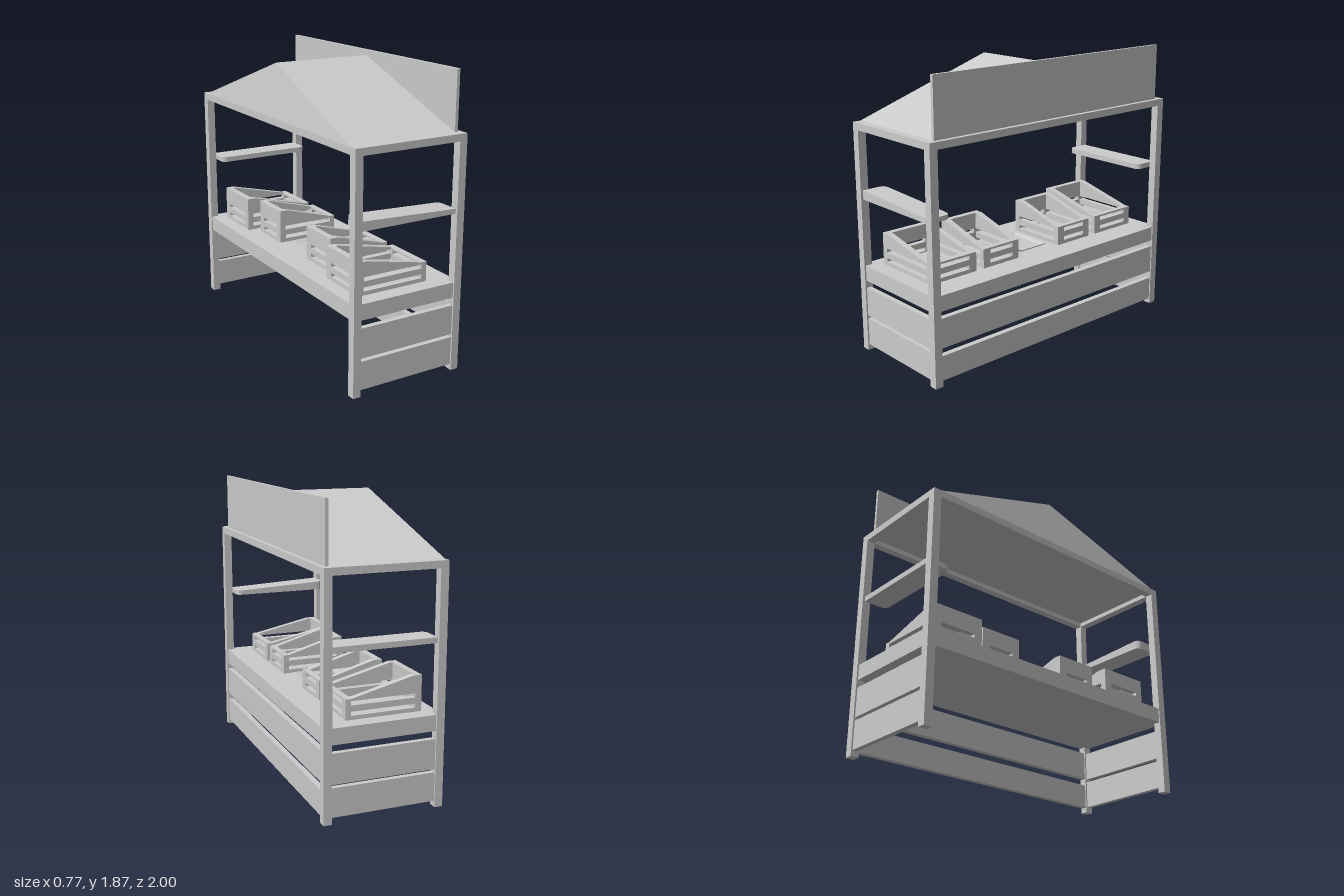
import * as THREE from 'three';
import { ConvexGeometry } from 'three/addons/geometries/ConvexGeometry.js';

const mat = new THREE.MeshStandardMaterial({ color: 0xcccccc, flatShading: true });

function add(parent, name, geometry) {
  const mesh = new THREE.Mesh(geometry, mat);
  mesh.name = name;
  parent.add(mesh);
  return mesh;
}

// Box given by its limits on each axis
function box(parent, name, x0, x1, y0, y1, z0, z1) {
  const mesh = add(parent, name, new THREE.BoxGeometry(x1 - x0, y1 - y0, z1 - z0));
  mesh.position.set((x0 + x1) / 2, (y0 + y1) / 2, (z0 + z1) / 2);
  return mesh;
}

// Flat panel from an outline, with horizontal slots cut through it
function slottedPanel(points, s0, s1, depth) {
  const shape = new THREE.Shape(points.map(p => new THREE.Vector2(...p)));
  for (const [y0, y1] of [[0.025, 0.05], [0.088, 0.114]]) {
    shape.holes.push(new THREE.Path([
      new THREE.Vector2(s0, y0), new THREE.Vector2(s0, y1),
      new THREE.Vector2(s1, y1), new THREE.Vector2(s1, y0)]));
  }
  return new THREE.ExtrudeGeometry(shape, { depth, bevelEnabled: false });
}

// Open crate with a high back (-x), sloping sides and a low front (+x)
function makeCrate(back, z0, z1, height) {
  const crate = new THREE.Group();
  crate.name = 'crate';
  crate.position.y = 0.58;
  const front = 0.205, low = 0.127, wall = 0.04, side = 0.055;

  const profile = [[back, 0], [front, 0], [front, low], [front - 0.035, low],
    [back + side, height], [back, height]];
  for (const z of [z0, z1 - wall]) {
    add(crate, 'crateSide', slottedPanel(profile, back + 0.04, front - 0.035, wall)).position.z = z;
  }

  const half = (z1 - z0) / 2 - wall;
  const slot = (z1 - z0) / 2 - side;
  for (const [name, x, h] of [['crateBack', back, height], ['crateFront', front - wall, low]]) {
    const panel = add(crate, name,
      slottedPanel([[-half, 0], [half, 0], [half, h], [-half, h]], slot * -1, slot, wall));
    panel.rotation.y = Math.PI / 2;
    panel.position.set(x, 0, (z0 + z1) / 2);
  }
  box(crate, 'crateFloor', back + wall, front - wall, 0, 0.018, z0 + wall, z1 - wall);
  return crate;
}

export function createModel() {
  const stall = new THREE.Group();
  stall.name = 'marketStall';
  const X = 0.385, xi = 0.333, Z = 1, zi = 0.945;

  for (const s of [-1, 1]) {
    // Corner posts and top rails
    for (const t of [-1, 1]) {
      const post = box(stall, 'post', xi, X, 0, 1.5, zi, Z);
      post.position.x *= s;
      post.position.z *= t;
    }
    box(stall, 'longRail', -xi, -xi + 0.052, 1.455, 1.5, -zi, zi).position.x = s * (X + xi) / 2;
    box(stall, 'endRail', -xi, xi, 1.455, 1.5, zi, Z).position.z = s * (Z + zi) / 2;

    // End boards
    for (const [y0, y1] of [[0.038, 0.22], [0.24, 0.43]]) {
      box(stall, 'endBoard', -xi, xi, y0, y1, 0.955, 0.99).position.z = s * 0.9725;
    }

    // Small side shelf with rounded inner corners
    const r = 0.04, out = 0.985, inn = 0.825;
    const plan = new THREE.Shape();
    plan.moveTo(-xi, -out);
    plan.lineTo(xi, -out);
    plan.lineTo(xi, -inn - r);
    plan.quadraticCurveTo(xi, -inn, xi - r, -inn);
    plan.lineTo(-xi + r, -inn);
    plan.quadraticCurveTo(-xi, -inn, -xi, -inn - r);
    const shelf = new THREE.ExtrudeGeometry(plan, { depth: 0.035, bevelEnabled: false, curveSegments: 5 });
    shelf.rotateX(-Math.PI / 2);
    if (s < 0) shelf.rotateY(Math.PI);
    // The top of the +z shelf tilts down towards +x
    const p = shelf.attributes.position;
    for (let i = 0; i < p.count; i++) {
      if (s > 0 && p.getY(i) > 0.01) p.setY(i, 0.045 - 0.015 * p.getX(i) / xi);
    }
    add(stall, 'sideShelf', shelf).position.y = 1.015;
  }

  // Customer-side boards; the seller's side stays open
  for (const [y0, y1] of [[0.035, 0.195], [0.245, 0.435]]) {
    box(stall, 'frontBoard', 0.34, 0.377, y0, y1, -zi, zi);
  }
  // Counter
  box(stall, 'counter', -0.378, 0.378, 0.48, 0.58, -0.99, 0.99);

  // Ceiling, ridged roof and sign board
  box(stall, 'ceiling', -xi, xi, 1.485, 1.499, -zi, zi);
  const roof = [];
  for (const z of [-zi, zi]) {
    roof.push(new THREE.Vector3(-X, 1.5, z), new THREE.Vector3(0.335, 1.5, z));
  }
  roof.push(new THREE.Vector3(-0.33, 1.835, 0), new THREE.Vector3(0.335, 1.835, 0));
  add(stall, 'roof', new ConvexGeometry(roof));
  box(stall, 'signBoard', 0.335, 0.356, 1.5, 1.87, -zi, zi);

  // Crates on the counter
  stall.add(
    makeCrate(-0.285, 0.53, 0.885, 0.21),
    makeCrate(-0.22, 0.175, 0.47, 0.222),
    makeCrate(-0.22, -0.475, -0.18, 0.222),
    makeCrate(-0.285, -0.89, -0.535, 0.225));

  // Shallow flared tray in the middle
  const q = Math.SQRT2;
  const tray = new THREE.LatheGeometry(
    [[0, 0], [0.8, 0], [1, 1], [0.88, 1], [0.74, 0.35], [0, 0.35]]
      .map(([x, y]) => new THREE.Vector2(x * q, y)), 4);
  tray.rotateY(Math.PI / 4);
  tray.scale(0.165, 0.022, 0.117);
  add(stall, 'tray', tray).position.set(0, 0.58, -0.003);

  return stall;
}
